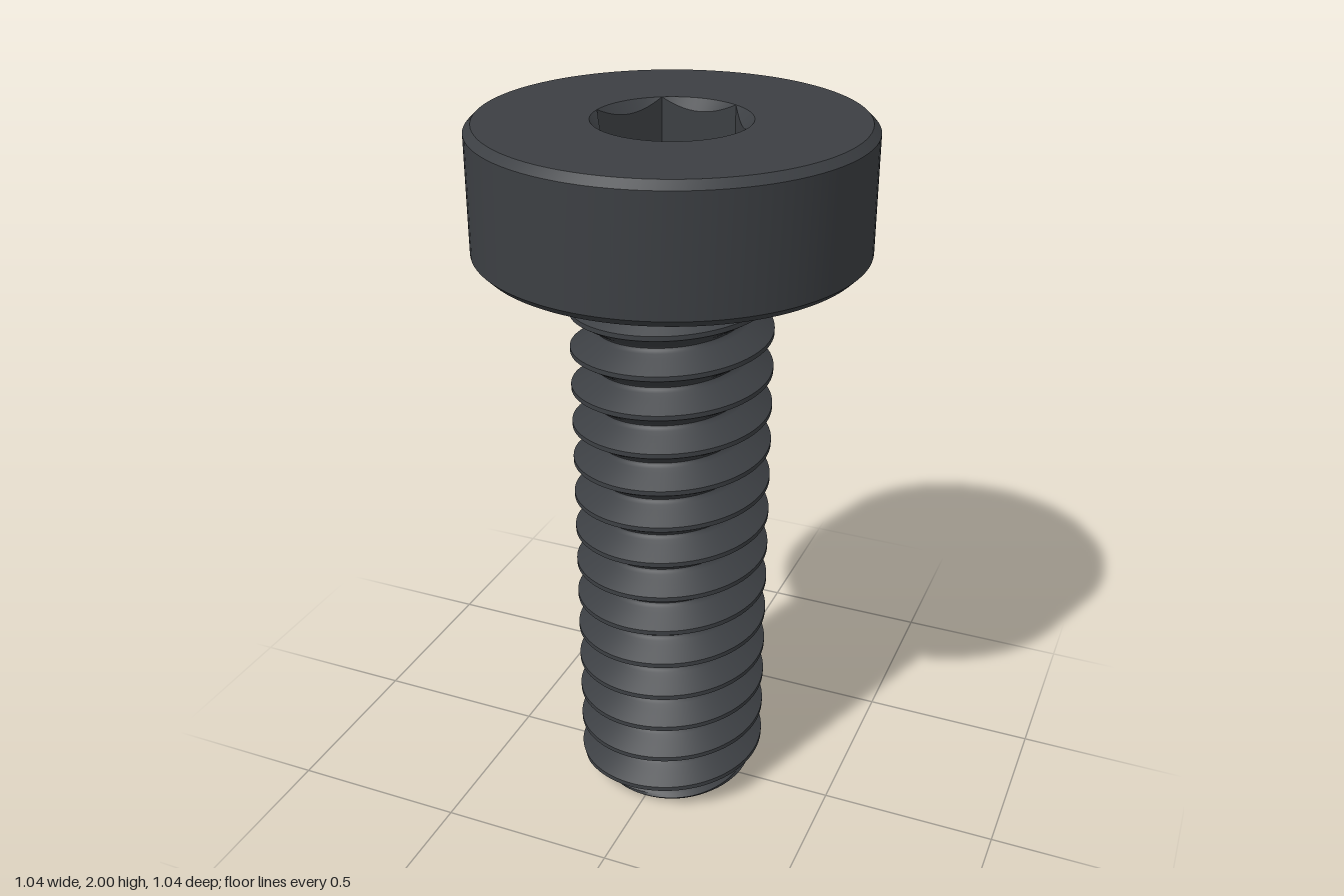
import * as THREE from 'three';
import { toCreasedNormals } from 'three/addons/utils/BufferGeometryUtils.js';

const SEGMENTS = 96;
const material = new THREE.MeshStandardMaterial({ color: 0x3c3f43 });

// Surface swept round the y axis: profile(angle) returns [radius, height] points,
// running up the outside, over the top and down the inside.
function sweep(name, profile, crease = 0.5) {
  const rings = [];
  for (let i = 0; i <= SEGMENTS; i++) {
    const a = (i / SEGMENTS) * Math.PI * 2;
    rings.push(profile(a).map(([r, y]) => new THREE.Vector3(r * Math.cos(a), y, -r * Math.sin(a))));
  }
  const positions = [];
  const triangle = new THREE.Triangle();
  const add = (a, b, c) => {
    if (triangle.set(a, b, c).getArea() < 1e-9) return;
    for (const p of [a, b, c]) positions.push(p.x, p.y, p.z);
  };
  for (let i = 0; i < SEGMENTS; i++) {
    for (let j = 0; j < rings[0].length - 1; j++) {
      add(rings[i][j], rings[i + 1][j], rings[i + 1][j + 1]);
      add(rings[i][j], rings[i + 1][j + 1], rings[i][j + 1]);
    }
  }
  const geometry = new THREE.BufferGeometry();
  geometry.setAttribute('position', new THREE.Float32BufferAttribute(positions, 3));
  // Enlarged while smoothing so that close vertices stay distinct
  geometry.scale(100, 100, 100);
  const creased = toCreasedNormals(geometry, crease);
  creased.scale(0.01, 0.01, 0.01);
  const mesh = new THREE.Mesh(creased, material);
  mesh.name = name;
  return mesh;
}

// Piecewise linear lookup through [x, value] points
function lookup(points, x) {
  for (let i = 1; i < points.length; i++) {
    const [x0, v0] = points[i - 1], [x1, v1] = points[i];
    if (x <= x1) return v0 + (v1 - v0) * Math.max(0, (x - x0) / (x1 - x0));
  }
  return points[points.length - 1][1];
}

// Head with chamfered rims
const HEAD_BASE = 1.65, SOCKET_R = 0.206;
const headProfile = [
  [0.2, HEAD_BASE], [0.5, HEAD_BASE], [0.52, HEAD_BASE + 0.02],
  [0.52, 1.98], [0.5, 2], [SOCKET_R, 2],
];

// Hexagonal socket with a conical countersink, corners on the x axis
function socketProfile(a) {
  const sector = Math.PI / 3;
  const r = SOCKET_R * Math.cos(sector / 2) / Math.cos((a % sector) - sector / 2);
  return [[SOCKET_R, 2], [r, 2 - (SOCKET_R - r)], [r, 1.8], [0, 1.8]];
}

// Right-hand thread: radius against distance from the crest, in pitches
const PITCH = 0.11, CREST_Y = 0.113;
const threadForm = [[0, 0.273], [0.06, 0.273], [0.4, 0.215], [0.45, 0.207], [0.5, 0.204]];
const underHead = [[1.545, 0.204], [1.59, 0.255], [1.62, 0.264], [1.635, 0.272], [HEAD_BASE, 0.29]];
const halfSteps = [0.06, 0.14, 0.23, 0.32, 0.4, 0.45];
const steps = [...halfSteps, 0.5, ...halfSteps.map((u) => 1 - u).reverse()];

function shankProfile(a) {
  const points = [[0, 0]];
  for (let turn = -3; turn <= 15; turn++) {
    for (const u of steps) {
      const helixY = CREST_Y + PITCH * (turn + u + a / (Math.PI * 2));
      const y = THREE.MathUtils.clamp(helixY, 0, HEAD_BASE);
      const phase = u + (y - helixY) / PITCH;
      const thread = lookup(threadForm, Math.abs(phase - Math.round(phase)));
      // Chamfered tip below, flare into the head above
      points.push([Math.max(Math.min(thread, 0.207 + y), lookup(underHead, y)), y]);
    }
  }
  return points;
}

export function createModel() {
  const group = new THREE.Group();
  group.name = 'socketHeadScrew';
  group.add(
    sweep('head', () => headProfile),
    sweep('hexSocket', socketProfile),
    sweep('threadedShank', shankProfile, 0.6),
  );
  return group;
}
